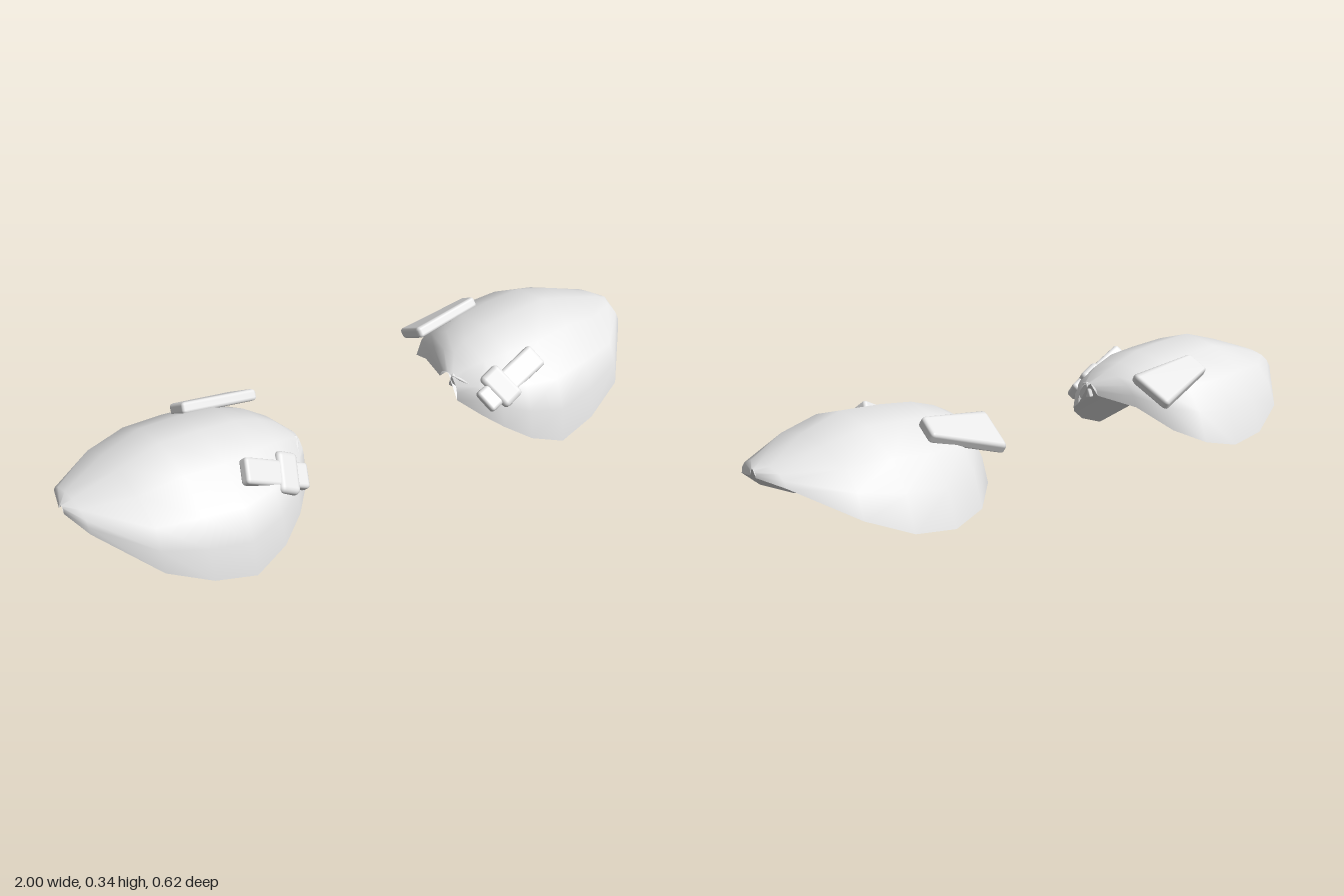
import * as THREE from 'three';
import { mergeVertices } from 'three/addons/utils/BufferGeometryUtils.js';
import { RoundedBoxGeometry } from 'three/addons/geometries/RoundedBoxGeometry.js';

// Stations along x: x, front rim z, y, back rim z, y, crown z, y, lining ridge y
const STATIONS = [
  [0.285, 0.12, 0.16, 0.03, 0.205, 0.07, 0.238, 0.235],
  [0.33, 0.19, 0.125, -0.1, 0.185, 0.04, 0.275, 0.225],
  [0.38, 0.24, 0.09, -0.215, 0.125, 0.03, 0.3, 0.222],
  [0.46, 0.285, 0.04, -0.285, 0.085, 0.03, 0.325, 0.222],
  [0.57, 0.31, 0, -0.31, 0.06, 0.03, 0.338, 0.22],
  [0.7, 0.298, 0.035, -0.3, 0.075, 0.03, 0.345, 0.222],
  [0.83, 0.262, 0.1, -0.252, 0.13, 0.025, 0.308, 0.225],
  [0.97, 0.115, 0.203, -0.11, 0.215, 0.015, 0.26, 0.23],
  [1, 0.02, 0.226, -0.01, 0.226, 0.01, 0.248, 0.247],
];
// Profiles as [outward fraction, height fraction], front rim over the crown to the back rim
const ARCH = {
  front: [[1, 0], [0.95, 0.33], [0.82, 0.61], [0.46, 0.88], [0, 1]],
  back: [[0.37, 0.93], [0.72, 0.7], [0.9, 0.39], [1, 0]],
};
const CHORD = { front: [[1, 0], [0.5, 0.5], [0.02, 1]], back: [[0.24, 1], [0.6, 0.52], [1, 0]] };

// Surface through one profile per station; the lining is shallower and faces down
function loft(profile, isLining) {
  const pos = [], index = [];
  const n = profile.front.length + profile.back.length;
  for (const [x, zf, yf, zb, yb, zc, crown, ridge] of STATIONS) {
    const top = isLining ? ridge : crown;
    for (const [s, h] of profile.front) pos.push(x, yf + (top - yf) * h, zc + (zf - zc) * s);
    for (const [s, h] of profile.back) pos.push(x, yb + (top - yb) * h, zc + (zb - zc) * s);
  }
  for (let i = 0; i < STATIONS.length - 1; i++) {
    for (let j = 0; j < n - 1; j++) {
      const a = i * n + j, b = a + n;
      if (isLining) index.push(a, b + 1, b, a, a + 1, b + 1);
      else index.push(a, b, b + 1, a, b + 1, a + 1);
    }
  }
  const g = new THREE.BufferGeometry();
  g.setAttribute('position', new THREE.Float32BufferAttribute(pos, 3));
  g.setIndex(index);
  g.computeVertexNormals();
  return g;
}

// Soft-edged band from a to b; its width runs along the given direction and may change to endWidth
function band(a, b, across, width, thick, endWidth = width) {
  const A = new THREE.Vector3(...a), B = new THREE.Vector3(...b);
  const along = B.clone().sub(A);
  const length = along.length();
  along.normalize();
  const normal = along.clone().cross(new THREE.Vector3(...across)).normalize();
  const side = normal.clone().cross(along);
  const m = new THREE.Matrix4().makeBasis(along, side, normal);
  m.setPosition(A.add(B).multiplyScalar(0.5));
  const g = new RoundedBoxGeometry(length, width, thick, 2, thick * 0.3);
  g.deleteAttribute('uv');
  const p = g.attributes.position;
  for (let i = 0; i < p.count; i++) {
    const t = p.getX(i) / length + 0.5;
    p.setY(i, p.getY(i) * (1 + t * (endWidth / width - 1)));
  }
  return mergeVertices(g.applyMatrix4(m));
}

function mirrored(geometry) {
  const g = geometry.clone();
  const p = g.attributes.position, n = g.attributes.normal;
  for (let i = 0; i < p.count; i++) {
    p.setX(i, -p.getX(i));
    n.setX(i, -n.getX(i));
  }
  const idx = g.index.array;
  for (let i = 0; i < idx.length; i += 3) [idx[i + 1], idx[i + 2]] = [idx[i + 2], idx[i + 1]];
  return g;
}

export function createModel() {
  const grey = new THREE.MeshStandardMaterial({ color: 0xe6e6e6, side: THREE.DoubleSide });
  grey.name = 'pale grey';

  const frontAcross = [0.02, -0.05, 0.055];
  const parts = {
    shell: loft(ARCH, false),
    lining: loft(CHORD, true),
    // front strap with its buckle and the tail turning in along the rim
    frontStrap: band([0.535, 0.278, 0.195], [0.33, 0.172, 0.195], frontAcross, 0.078, 0.036),
    frontBuckle: band([0.43, 0.226, 0.19], [0.365, 0.188, 0.19], frontAcross, 0.125, 0.052),
    frontStrapTail: band([0.35, 0.18, 0.18], [0.292, 0.215, 0.075], [0.1, -0.8, -0.2], 0.05, 0.014),
    // rear strap widening towards the neck
    rearStrap: band([0.55, 0.3, -0.153], [0.315, 0.25, -0.168], [0, -0.45, -0.75], 0.078, 0.036, 0.155),
  };

  const model = new THREE.Group();
  model.name = 'shoulderGuards';
  for (const side of ['left', 'right']) {
    const guard = new THREE.Group();
    guard.name = side + 'ShoulderGuard';
    for (const [name, geometry] of Object.entries(parts)) {
      const mesh = new THREE.Mesh(side === 'left' ? geometry : mirrored(geometry), grey);
      mesh.name = name;
      guard.add(mesh);
    }
    model.add(guard);
  }
  return model;
}
